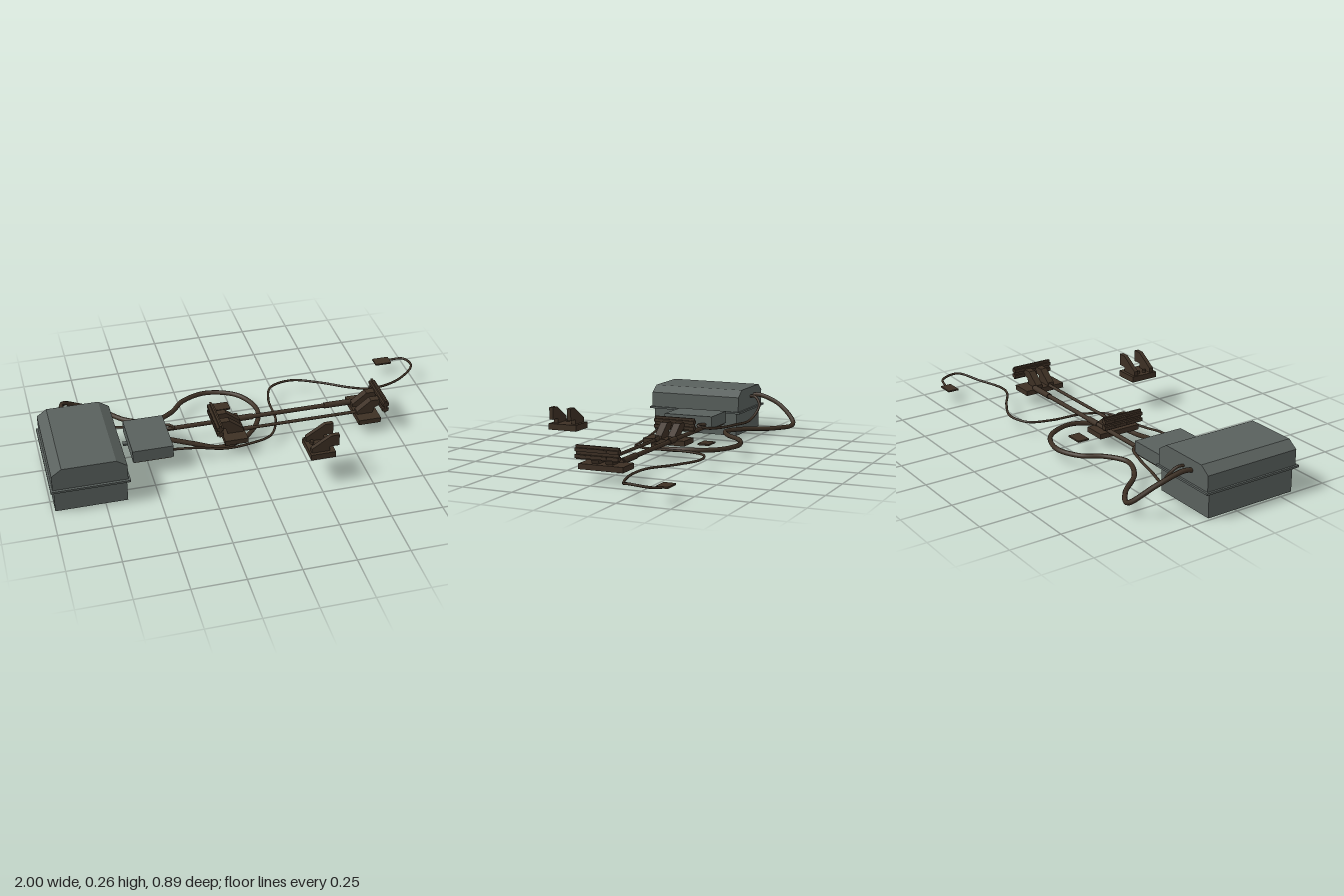
import * as THREE from 'three';

const grey = new THREE.MeshStandardMaterial({ color: 0x59605d, side: THREE.DoubleSide });
grey.name = 'grey casing';
const brown = new THREE.MeshStandardMaterial({ color: 0x3d3024 });
brown.name = 'dark brown';

function add(parent, name, geometry, material) {
  const mesh = new THREE.Mesh(geometry, material);
  mesh.name = name;
  parent.add(mesh);
  return mesh;
}

// Box given by its limits on each axis
function box(parent, name, [x0, x1], [y0, y1], [z0, z1], material = brown) {
  const mesh = add(parent, name, new THREE.BoxGeometry(x1 - x0, y1 - y0, z1 - z0), material);
  mesh.position.set((x0 + x1) / 2, (y0 + y1) / 2, (z0 + z1) / 2);
  return mesh;
}

function polygon(points) {
  return new THREE.Shape(points.map(([x, y]) => new THREE.Vector2(x, y)));
}

// Profile in x and y, extruded between two z values
function slab(parent, name, points, z0, z1, material = brown) {
  const geometry = new THREE.ExtrudeGeometry(polygon(points), { depth: z1 - z0, bevelEnabled: false });
  geometry.translate(0, 0, z0);
  return add(parent, name, geometry, material);
}

// Four walls around an open middle
function frame(parent, name, [x0, x1], [y0, y1], [z0, z1], wall, material) {
  const rect = (t) => [[x0 + t, -z1 + t], [x1 - t, -z1 + t], [x1 - t, -z0 - t], [x0 + t, -z0 - t]];
  const shape = polygon(rect(0));
  shape.holes.push(polygon(rect(wall)));
  const geometry = new THREE.ExtrudeGeometry(shape, { depth: y1 - y0, bevelEnabled: false });
  geometry.rotateX(-Math.PI / 2);
  geometry.translate(0, y0, 0);
  return add(parent, name, geometry, material);
}

function cable(parent, name, points, radius) {
  const curve = new THREE.CatmullRomCurve3(points.map((p) => new THREE.Vector3(...p)));
  add(parent, name, new THREE.TubeGeometry(curve, points.length * 10, radius, 8), brown);
}

function rod(parent, name, x0, x1, y, z, radius) {
  const geometry = new THREE.CylinderGeometry(radius, radius, x1 - x0, 12);
  geometry.rotateZ(Math.PI / 2);
  add(parent, name, geometry, brown).position.set((x0 + x1) / 2, y, z);
}

// Large open-bottomed casing with a chamfered lid
function makeCasing() {
  const g = new THREE.Group();
  g.name = 'casing';
  frame(g, 'casingWalls', [-0.985, -0.645], [0, 0.12], [-0.148, 0.325], 0.006, grey);
  frame(g, 'casingFlange', [-1, -0.63], [0.119, 0.129], [-0.17, 0.35], 0.03, grey);
  const outer = [[-0.99, 0.128], [-0.99, 0.206], [-0.942, 0.24], [-0.69, 0.24], [-0.64, 0.206], [-0.64, 0.128]];
  const inner = [[-0.646, 0.128], [-0.646, 0.203], [-0.692, 0.234], [-0.94, 0.234], [-0.984, 0.203], [-0.984, 0.128]];
  slab(g, 'lidShell', [...outer, ...inner], -0.16, 0.337, grey);
  slab(g, 'lidBackEnd', outer, -0.16, -0.154, grey);
  slab(g, 'lidFrontEnd', outer, 0.331, 0.337, grey);
  return g;
}

// Bracket with a footplate, two sloping arms and a ribbed upright
function makeMount(name, x, direction) {
  const g = new THREE.Group();
  g.name = name;
  box(g, 'footplate', [-0.057, 0.057], [0.053, 0.079], [-0.125, 0.098]);
  for (const z of [-0.045, 0.025]) {
    slab(g, 'arm', [[-0.05, 0.079], [0.03, 0.079], [0.04, 0.108], [0.075, 0.12], [0.075, 0.15], [0.02, 0.15], [-0.05, 0.095]],
      z - 0.018, z + 0.018);
    for (const y of [0.122, 0.152]) box(g, 'fastener', [0.09, 0.098], [y - 0.004, y + 0.004], [z - 0.018, z + 0.018]);
  }
  box(g, 'upright', [0.074, 0.084], [0.105, 0.17], [-0.12, 0.095]);
  for (const y of [0.12, 0.15]) box(g, 'uprightRib', [0.064, 0.096], [y - 0.008, y + 0.008], [-0.12, 0.095]);
  g.position.x = x;
  // Half turn about the bracket's own centre line
  if (direction < 0) {
    g.rotation.y = Math.PI;
    g.position.z = -0.026;
  }
  return g;
}

// Separate bracket with two prongs
function makeProngBracket() {
  const g = new THREE.Group();
  g.name = 'prongBracket';
  box(g, 'prongBase', [0.205, 0.325], [0.15, 0.18], [0.295, 0.443]);
  for (const z of [0.311, 0.406]) {
    slab(g, 'prong', [[0.212, 0.18], [0.3, 0.18], [0.3, 0.203], [0.345, 0.203], [0.345, 0.262], [0.305, 0.262], [0.212, 0.203]],
      z, z + 0.021);
  }
  for (const z of [0.35, 0.386]) {
    const stud = add(g, 'stud', new THREE.CylinderGeometry(0.01, 0.01, 0.014, 12), brown);
    stud.position.set(0.235, 0.186, z);
  }
  return g;
}

export function createModel() {
  const model = new THREE.Group();
  model.name = 'casingAndRailAssembly';
  model.add(makeCasing());

  // Small control box
  box(model, 'controlBox', [-0.585, -0.388], [0.078, 0.14], [-0.112, 0.152], grey);
  box(model, 'controlBoxBase', [-0.58, -0.393], [0.071, 0.078], [-0.107, 0.147]);
  box(model, 'controlBoxTab', [-0.607, -0.585], [0.08, 0.09], [-0.012, 0.012], grey);

  // Brackets and the rails between them
  model.add(makeMount('nearMount', -0.064, -1), makeMount('farMount', 0.618, 1), makeProngBracket());
  rod(model, 'backRail', -0.39, 0.58, 0.083, -0.07, 0.011);
  rod(model, 'backRailSleeve', -0.02, 0.06, 0.083, -0.07, 0.015);
  rod(model, 'backRailSleeve', 0.43, 0.57, 0.083, -0.07, 0.015);
  rod(model, 'frontRail', -0.06, 0.58, 0.08, 0.018, 0.008);
  rod(model, 'frontRailSleeve', -0.01, 0.035, 0.08, 0.018, 0.011);

  // Loose flat plates
  box(model, 'smallPlate', [-0.112, -0.026], [0.062, 0.07], [-0.245, -0.185]);
  box(model, 'cableEndPlate', [0.82, 0.906], [0.06, 0.068], [-0.445, -0.388]);

  cable(model, 'thickCable', [
    [-0.875, 0.19, -0.15], [-0.868, 0.193, -0.2], [-0.845, 0.15, -0.32], [-0.775, 0.065, -0.42],
    [-0.665, 0.055, -0.36], [-0.55, 0.06, -0.23], [-0.425, 0.065, -0.178], [-0.32, 0.065, -0.23],
    [-0.24, 0.062, -0.32], [-0.11, 0.06, -0.365], [0.04, 0.06, -0.305], [0.105, 0.06, -0.16],
    [0.075, 0.052, -0.05], [-0.025, 0.04, 0.05], [-0.15, 0.037, 0.08], [-0.265, 0.065, 0.06], [-0.4, 0.095, 0.025],
  ], 0.012);
  cable(model, 'shortCable', [
    [-0.82, 0.19, -0.15], [-0.813, 0.19, -0.19], [-0.79, 0.15, -0.223], [-0.72, 0.08, -0.2], [-0.585, 0.07, -0.16],
    [-0.45, 0.075, -0.13], [-0.36, 0.085, -0.1], [-0.345, 0.095, -0.055], [-0.365, 0.098, -0.05], [-0.395, 0.098, -0.08],
  ], 0.007);
  cable(model, 'longCable', [
    [-0.4, 0.095, 0.115], [-0.265, 0.085, 0.123], [-0.13, 0.06, 0.128], [0, 0.055, 0.112], [0.11, 0.06, 0.08],
    [0.168, 0.066, -0.03], [0.18, 0.07, -0.21], [0.225, 0.07, -0.32], [0.34, 0.07, -0.353], [0.48, 0.07, -0.295],
    [0.62, 0.07, -0.21], [0.725, 0.062, -0.187], [0.885, 0.062, -0.23], [0.985, 0.085, -0.305],
    [0.97, 0.075, -0.4], [0.9, 0.064, -0.42],
  ], 0.006);
  return model;
}
